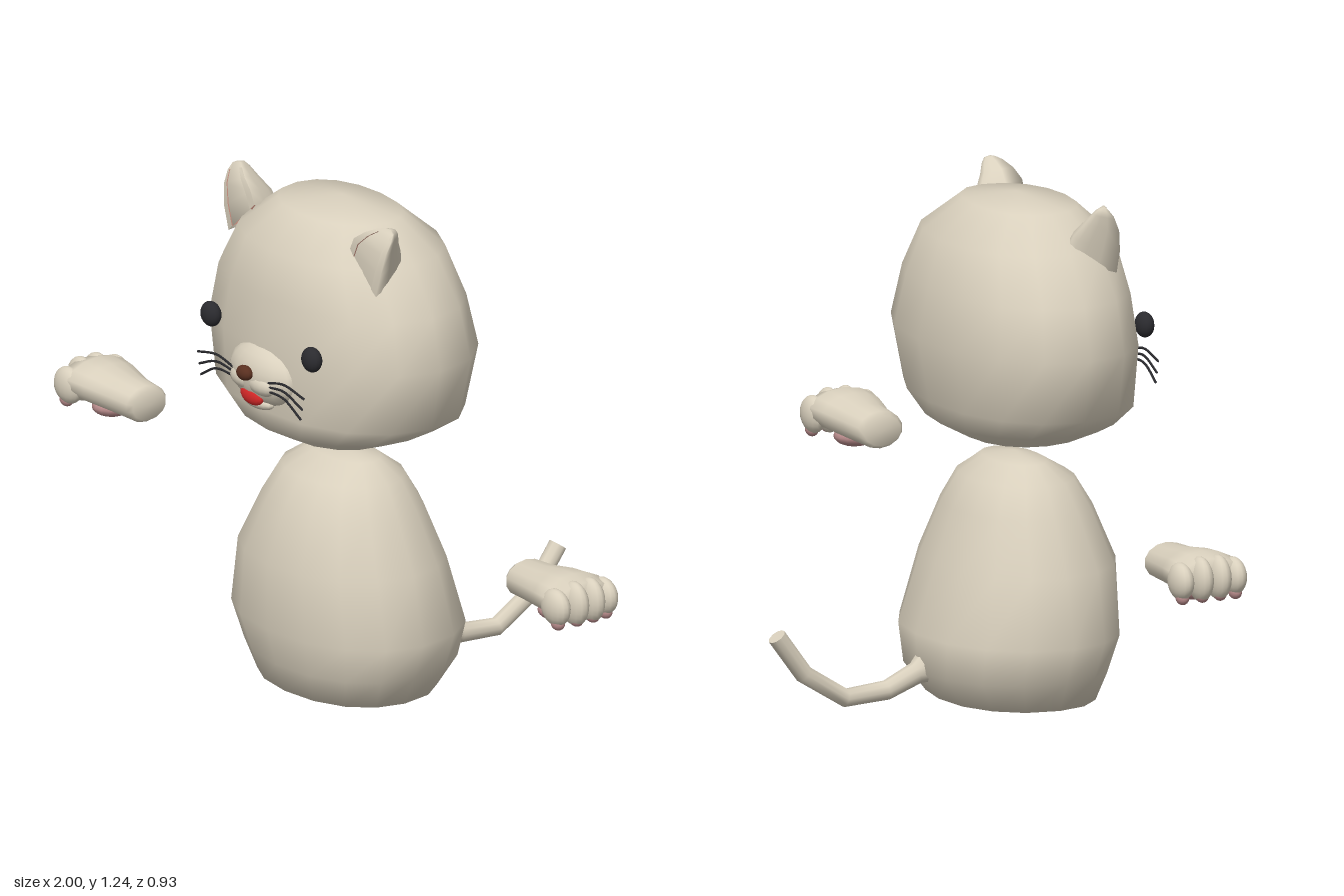
import * as THREE from 'three';

const mat = (color) => new THREE.MeshStandardMaterial({ color, side: THREE.DoubleSide });
const fur = mat(0xd9d0bd), pink = mat(0xb98577), padPink = mat(0xb98c8c);
const black = mat(0x2b2b2f), brown = mat(0x5a3020), red = mat(0xe02a2a);

const V = (x, y, z) => new THREE.Vector3(x, y, z);

function mesh(name, geometry, material) {
  const m = new THREE.Mesh(geometry, material);
  m.name = name;
  return m;
}

// Smooth skin over a list of rings; optional end points close it
function loft(rings, start, end, closed = true) {
  const n = rings[0].length, pos = [], idx = [];
  rings.flat().forEach((p) => pos.push(p.x, p.y, p.z));
  const cols = closed ? n : n - 1;
  for (let i = 0; i < rings.length - 1; i++) {
    for (let j = 0; j < cols; j++) {
      const k = (j + 1) % n;
      const a = i * n + j, b = i * n + k, c = a + n, d = b + n;
      idx.push(a, b, d, a, d, c);
    }
  }
  const cap = (point, base, flip) => {
    const c = pos.length / 3;
    pos.push(point.x, point.y, point.z);
    for (let j = 0; j < n; j++) {
      const a = base + j, b = base + (j + 1) % n;
      idx.push(c, flip ? b : a, flip ? a : b);
    }
  };
  if (start) cap(start, 0, true);
  if (end) cap(end, (rings.length - 1) * n, false);
  const g = new THREE.BufferGeometry();
  g.setAttribute('position', new THREE.Float32BufferAttribute(pos, 3));
  g.setIndex(idx);
  g.computeVertexNormals();
  return g;
}

// Upright rounded body from rows of [y, halfWidth, zFront, zBack]
function roundBody(rows, zc, bottom, top, power) {
  const soft = (v) => Math.sign(v) * Math.abs(v) ** (2 / power);
  const rings = rows.map(([y, w, front, back]) => Array.from({ length: 16 }, (_, j) => {
    const a = j / 16 * Math.PI * 2;
    const c = soft(Math.cos(a));
    return V(w * soft(Math.sin(a)), y, zc + c * (c > 0 ? front - zc : zc - back));
  }));
  return loft(rings, bottom, top);
}

function ellipsoid(name, material, [x, y, z], [rx, ry, rz]) {
  const g = new THREE.SphereGeometry(1, 16, 12);
  g.scale(rx, ry, rz);
  g.translate(x, y, z);
  return mesh(name, g, material);
}

// Copy of a group reflected across x = 0
function mirrored(group, name) {
  const out = new THREE.Group();
  out.name = name;
  group.children.forEach((part) => {
    const g = part.geometry.clone();
    g.scale(-1, 1, 1);
    const ix = g.index.array;
    for (let i = 0; i < ix.length; i += 3) [ix[i], ix[i + 1]] = [ix[i + 1], ix[i]];
    out.add(mesh(part.name, g, part.material));
  });
  return out;
}

// Cupped ear: a furry back shell with a rim and a pink hollow
function makeEar() {
  const ear = new THREE.Group();
  // rows: inner edge x, y, outer edge x, y, front z, depth
  const rows = [
    [0.185, 1.17, 0.285, 1.08, 0.285, 0.11],
    [0.20, 1.20, 0.302, 1.135, 0.285, 0.095],
    [0.232, 1.222, 0.312, 1.185, 0.278, 0.065],
    [0.26, 1.236, 0.315, 1.215, 0.265, 0.04],
    [0.278, 1.241, 0.31, 1.232, 0.255, 0.02],
  ];
  const arc = ([ax, ay, bx, by, z, depth], inset, scale, lift) =>
    Array.from({ length: 9 }, (_, j) => {
      const u = inset + (1 - 2 * inset) * j / 8;
      return V(ax + (bx - ax) * u, ay + (by - ay) * u, z + lift - depth * scale * Math.sin(Math.PI * j / 8));
    });
  const back = rows.map((r) => arc(r, 0, 1, 0).reverse());
  const hollow = rows.slice(0, 4).map((r) => arc(r, 0.16, 0.45, 0.002));
  const last = rows[4];
  hollow.push(arc([last[0], last[1] - 0.012, last[2], last[3] - 0.01, last[4], last[5]], 0.3, 0.3, 0.002));
  ear.add(mesh('earBack', loft(back, null, V(0.295, 1.24, 0.25)), fur));
  ear.add(mesh('earInside', loft(hollow, null, null, false), pink));
  // rim strips along both edges
  const strip = (j) => back.map((r, i) => [r[8 - j], hollow[i][j]]);
  ear.add(mesh('earRim', loft(strip(0), null, null, false), fur));
  ear.add(mesh('earRim', loft(strip(8).map((p) => p.reverse()), null, null, false), fur));
  return ear;
}

// Floating paw with four toes and pads underneath
function makePaw() {
  const paw = new THREE.Group();
  const rows = [ // x, bottom, top, half width
    [0.722, 0.468, 0.54, 0.048], [0.735, 0.46, 0.548, 0.058], [0.80, 0.46, 0.552, 0.064],
    [0.87, 0.464, 0.563, 0.082], [0.92, 0.466, 0.566, 0.09], [0.96, 0.474, 0.555, 0.08],
  ];
  const rings = rows.map(([x, lo, hi, w]) => Array.from({ length: 14 }, (_, j) => {
    const a = j / 14 * Math.PI * 2;
    return V(x, (lo + hi) / 2 + Math.cos(a) * (hi - lo) / 2, 0.188 + Math.sin(a) * w);
  }));
  paw.add(mesh('pawBody', loft(rings, V(0.72, 0.504, 0.188), V(0.97, 0.51, 0.188)), fur));
  [-0.068, -0.023, 0.023, 0.068].forEach((dz) => {
    const outer = Math.abs(dz) > 0.05;
    const x = outer ? 0.942 : 0.953, y = outer ? 0.505 : 0.508;
    paw.add(ellipsoid('toe', fur, [x, y, 0.188 + dz], [0.047, outer ? 0.044 : 0.053, 0.026]));
    paw.add(ellipsoid('toePad', padPink, [x + 0.008, y - 0.037, 0.188 + dz], [0.02, 0.017, 0.015]));
  });
  paw.add(ellipsoid('palmPad', padPink, [0.862, 0.465, 0.188], [0.045, 0.025, 0.052]));
  return paw;
}

function makeTail() {
  const path = [ // z, y, radius
    [0.03, 0.165, 0.075], [-0.045, 0.135, 0.048], [-0.09, 0.112, 0.026], [-0.165, 0.08, 0.023],
    [-0.272, 0.073, 0.022], [-0.378, 0.14, 0.022], [-0.448, 0.236, 0.022],
  ];
  const pts = path.map(([z, y]) => V(0, y, z));
  const rings = pts.map((p, i) => {
    const t = pts[Math.min(i + 1, pts.length - 1)].clone().sub(pts[Math.max(i - 1, 0)]).normalize();
    const side = V(1, 0, 0), up = t.clone().cross(side);
    return Array.from({ length: 10 }, (_, j) => {
      const a = j / 10 * Math.PI * 2, r = path[i][2];
      return p.clone().addScaledVector(side, r * Math.cos(a)).addScaledVector(up, r * Math.sin(a));
    });
  });
  // flat end: repeat the last ring so its edge stays sharp
  const tail = new THREE.Group();
  tail.name = 'tail';
  tail.add(mesh('tailTube', loft(rings), fur));
  const end = rings[rings.length - 1];
  tail.add(mesh('tailEnd', loft([end], null, pts[pts.length - 1]), fur));
  return tail;
}

// Eye and three curved whiskers of one side
function makeFaceSide() {
  const side = new THREE.Group();
  side.add(ellipsoid('eye', black, [0.195, 0.926, 0.402], [0.03, 0.03, 0.021]));
  [[0.842, 0.852, 0.838], [0.832, 0.835, 0.81], [0.822, 0.818, 0.785]].forEach(([y0, y1, y2], i) => {
    const curve = new THREE.CatmullRomCurve3([
      V(0.065, y0 - 0.004, 0.432), V(0.13, y1, 0.434), V(0.205 - i * 0.006, y2, 0.432)]);
    side.add(mesh('whisker', new THREE.TubeGeometry(curve, 10, 0.003, 5), black));
  });
  side.add(ellipsoid('lip', fur, [0.034, 0.823, 0.421], [0.05, 0.027, 0.027]));
  return side;
}

export function createModel() {
  const model = new THREE.Group();
  model.name = 'cat';

  model.add(mesh('body', roundBody([
    [0.045, 0.235, 0.335, -0.03], [0.115, 0.27, 0.36, -0.084], [0.205, 0.306, 0.385, -0.09],
    [0.365, 0.27, 0.385, -0.04], [0.49, 0.207, 0.335, 0.005], [0.56, 0.168, 0.293, 0.045],
    [0.6, 0.11, 0.225, 0.1],
  ], 0.165, V(0, 0, 0.165), V(0, 0.614, 0.165), 2.15), fur));
  model.add(makeTail());

  const head = new THREE.Group();
  head.name = 'head';
  head.add(mesh('skull', roundBody([
    [0.655, 0.16, 0.31, 0.05], [0.695, 0.255, 0.385, -0.025], [0.75, 0.348, 0.408, -0.055],
    [0.9, 0.38, 0.41, -0.083], [1.02, 0.35, 0.397, -0.058], [1.13, 0.277, 0.375, -0.028],
    [1.205, 0.175, 0.295, 0.06],
  ], 0.17, V(0, 0.642, 0.2), V(0, 1.226, 0.17), 2.2), fur));

  // muzzle, nose and open mouth
  head.add(ellipsoid('muzzle', fur, [0, 0.835, 0.385], [0.12, 0.075, 0.062]));
  head.add(ellipsoid('chin', fur, [0, 0.772, 0.41], [0.055, 0.018, 0.022]));
  head.add(ellipsoid('mouth', red, [0, 0.79, 0.428], [0.042, 0.024, 0.014]));
  head.add(ellipsoid('nose', brown, [0, 0.848, 0.45], [0.025, 0.018, 0.016]));

  const faceLeft = makeFaceSide(), ear = makeEar(), paw = makePaw();
  faceLeft.name = 'leftFace';
  ear.name = 'leftEar';
  paw.name = 'leftPaw';
  head.add(faceLeft, mirrored(faceLeft, 'rightFace'), ear, mirrored(ear, 'rightEar'));
  model.add(head, paw, mirrored(paw, 'rightPaw'));
  return model;
}
